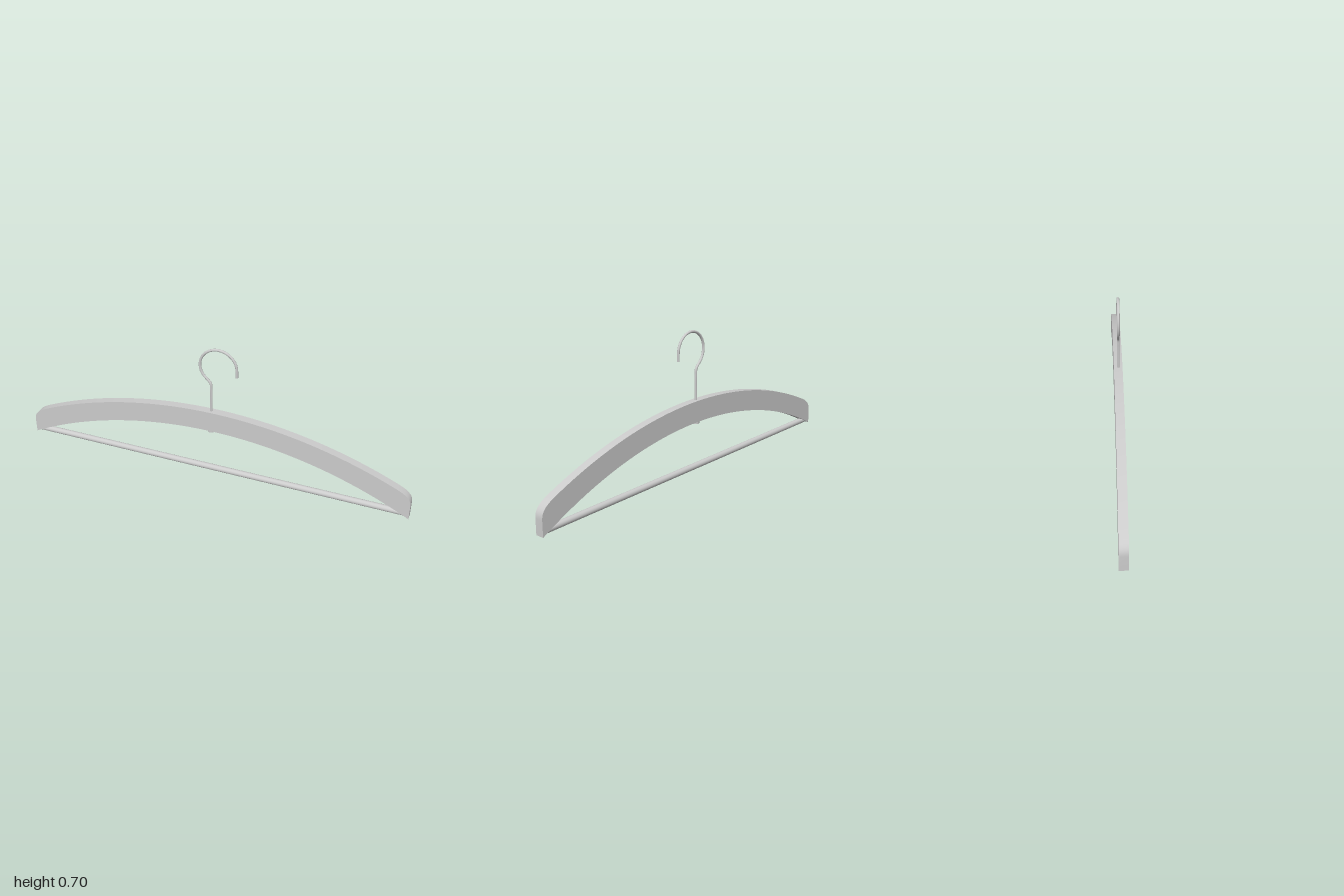
import * as THREE from 'three';
import { toCreasedNormals } from 'three/addons/utils/BufferGeometryUtils.js';

export function createModel() {
  const group = new THREE.Group();
  const material = new THREE.MeshStandardMaterial({ color: 0xcccccc });
  const add = (name, geometry) => {
    const mesh = new THREE.Mesh(geometry, material);
    mesh.name = name;
    group.add(mesh);
    return mesh;
  };

  // Arched body: two circular arcs joined by rounded shoulders
  const arc = (top, radius, x) => top - radius + Math.sqrt(radius * radius - x * x);
  const outer = x => arc(0.356, 2.26, x);
  const inner = x => arc(0.25, 2.125, x);
  const steps = 40, shoulderX = 0.925;
  const shape = new THREE.Shape();
  shape.moveTo(-1, 0);
  for (let i = 1; i <= steps; i++) {
    const x = -1 + (2 * i) / steps;
    shape.lineTo(x, inner(x));
  }
  shape.lineTo(1, 0.075);
  shape.bezierCurveTo(1, 0.115, 0.975, 0.135, shoulderX, outer(shoulderX));
  for (let i = 1; i <= steps; i++) {
    const x = shoulderX * (1 - (2 * i) / steps);
    shape.lineTo(x, outer(x));
  }
  shape.bezierCurveTo(-0.975, 0.135, -1, 0.115, -1, 0.075);
  shape.lineTo(-1, 0);
  const body = new THREE.ExtrudeGeometry(shape, { depth: 0.042, bevelEnabled: false, curveSegments: 10 });
  body.translate(0, 0, -0.021);
  add('body', toCreasedNormals(body, 0.5));

  // Trouser bar
  const bar = new THREE.CylinderGeometry(0.0155, 0.0155, 1.96, 24);
  bar.rotateZ(Math.PI / 2);
  add('trouserBar', bar).position.y = 0.0175;

  // Wire hook: stem, neck bend, round loop and short straight tip
  const points = [[0, 0.24], [0, 0.36], [0, 0.48], [-0.003, 0.51]];
  for (let deg = 232; deg >= 0; deg -= 14.5) {
    const a = THREE.MathUtils.degToRad(deg);
    points.push([0.035 + 0.092 * Math.cos(a), 0.605 + 0.092 * Math.sin(a)]);
  }
  points.push([0.128, 0.57]);
  const path = new THREE.CatmullRomCurve3(points.map(([x, y]) => new THREE.Vector3(x, y, 0)));
  add('hook', new THREE.TubeGeometry(path, 120, 0.0065, 12));

  // Flat cap closing the free end of the wire
  const cap = add('hookTip', new THREE.CircleGeometry(0.0065, 12));
  cap.position.copy(path.getPoint(1));
  cap.lookAt(cap.position.clone().add(path.getTangent(1)));

  // Retaining nut under the body
  add('hookNut', new THREE.CylinderGeometry(0.017, 0.017, 0.016, 20)).position.y = 0.246;

  return group;
}
